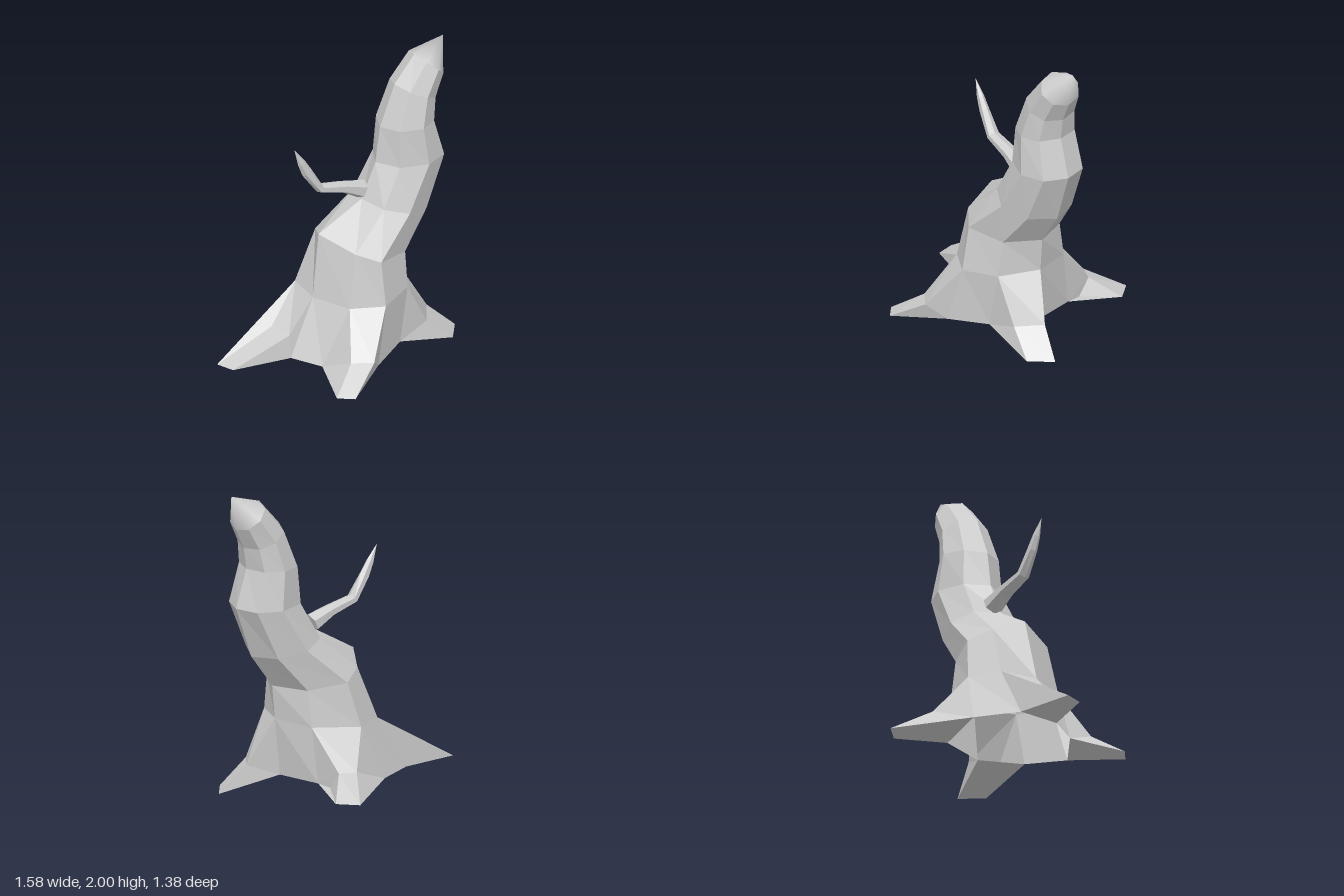
import * as THREE from 'three';

const V = (x, y, z) => new THREE.Vector3(x, y, z);
const SIDES = 8;

// Collects triangles and quads (counter-clockwise, quads split along a-c).
function faceBuilder() {
  const pts = [];
  const tri = (a, b, c) => pts.push(a, b, c);
  const quad = (a, b, c, d) => { tri(a, b, c); tri(a, c, d); };
  const band = (low, up) => low.forEach((p, i) => {
    const j = (i + 1) % low.length;
    quad(p, up[i], up[j], low[j]);
  });
  const geometry = () => {
    const g = new THREE.BufferGeometry().setFromPoints(pts);
    g.computeVertexNormals();
    return g;
  };
  return { tri, quad, band, geometry };
}

// The trunk is hollow and open below, so all bark is double-sided.
function makeMesh(name, geometry, flat = true) {
  const material = new THREE.MeshStandardMaterial({ color: 0xcccccc, flatShading: flat, side: THREE.DoubleSide });
  const mesh = new THREE.Mesh(geometry, material);
  mesh.name = name;
  return mesh;
}

// Bent trunk ring: right side, middle and left side points in x,y plus half depth.
function trunkRing([lx, ly, mx, my, rx, ry, depth]) {
  const bend = (l, m, r, c) => m + (r - l) / 2 * c + ((r + l) / 2 - m) * c * c;
  return Array.from({ length: SIDES }, (_, i) => {
    const t = i / SIDES * Math.PI * 2, c = Math.cos(t);
    return V(bend(lx, mx, rx, c), bend(ly, my, ry, c), 0.06 + depth * Math.sin(t));
  });
}

const trunkSections = [
  [-0.20, 0.43, 0.11, 0.43, 0.45, 0.47, 0.36],
  [-0.13, 0.84, 0.11, 0.72, 0.47, 0.69, 0.31],
  [0.17, 1.02, 0.37, 0.96, 0.63, 0.91, 0.245],
  [0.275, 1.25, 0.54, 1.25, 0.75, 1.25, 0.215],
  [0.31, 1.49, 0.51, 1.50, 0.67, 1.50, 0.195],
  [0.42, 1.76, 0.56, 1.69, 0.69, 1.64, 0.165],
  [0.57, 1.93, 0.66, 1.85, 0.75, 1.77, 0.14],
];

// Gnarled spots: ring, corner and shift
const gnarls = [
  [0, 3, V(0.02, 0, 0)], [0, 5, V(-0.05, 0, 0)], [0, 6, V(-0.07, 0, 0)],
  [1, 3, V(0.05, -0.02, 0)], [1, 4, V(0, 0, -0.04)], [1, 5, V(0.04, -0.02, 0)],
];

// Foot of the trunk at ground level, same order as the trunk rings.
const foot = [
  V(0.41, 0.09, 0.06), V(0.28, 0.09, 0.33), V(0.02, 0.06, 0.47), V(-0.27, 0.05, 0.27),
  V(-0.38, 0.06, 0.08), V(-0.38, 0.06, -0.20), V(-0.10, 0.08, -0.36), V(0.33, 0.095, -0.24),
];

// Roots grow from every second side: two knee points, two tip points, sometimes a heel.
const roots = [
  { name: 'leftRoot', side: 0, knee: [V(0.61, 0.17, 0.14), V(0.50, 0.16, 0.30)], tip: [V(0.79, 0, 0.19), V(0.68, 0, 0.33)] },
  { name: 'frontRoot', side: 2, knee: [V(-0.08, 0.15, 0.57), V(-0.20, 0.15, 0.49)], tip: [V(-0.30, 0.01, 0.685), V(-0.39, 0.01, 0.61)] },
  { name: 'rightRoot', side: 4, knee: [V(-0.38, 0.21, 0.06), V(-0.41, 0.22, -0.09)], tip: [V(-0.75, 0.04, -0.02), V(-0.79, 0.04, -0.14)], sunk: true },
  { name: 'backRoot', side: 6, knee: [V(0.19, 0.20, -0.46), V(0.30, 0.20, -0.42)], tip: [V(0.33, 0.07, -0.69), V(0.44, 0.07, -0.58)], heel: V(0.31, 0.09, -0.34) },
];

function makeRoot({ name, side, knee: [k0, k1], tip: [p0, p1], sunk, heel }, collar) {
  const f = faceBuilder();
  const [t0, t1, b0, b1] = [collar[side], collar[side + 1], foot[side], foot[side + 1]];
  f.quad(k0, t0, t1, k1);
  f.quad(p0, k0, k1, p1);
  f.quad(b0, p0, p1, b1);
  f.quad(k0, p0, b0, t0);
  if (sunk) f.quad(t1, b1, p1, k1);
  else if (heel) {
    f.quad(k1, t1, b1, heel);
    f.tri(k1, heel, p1);
    f.tri(p1, heel, b1);
  } else f.quad(k1, t1, b1, p1);
  return makeMesh(name, f.geometry());
}

// Side branch: six-sided rings across a bent path, ending in a point.
function makeBranch() {
  const path = [
    [0.20, 1.065, 0.062, 0.068], [0.06, 1.12, 0.038, 0.054], [-0.12, 1.165, 0.030, 0.044],
    [-0.215, 1.305, 0.036, 0.030], [-0.257, 1.385, 0.027, 0.022],
  ];
  const tip = V(-0.31, 1.49, 0.015);
  const centres = path.map(([x, y]) => V(x, y, 0.015));
  const rings = path.map(([, , r, rz], i) => {
    const dir = (centres[i + 1] || tip).clone().sub(centres[Math.max(i - 1, 0)]).normalize();
    const across = V(dir.y, -dir.x, 0);
    return Array.from({ length: 6 }, (_, k) => {
      const t = k / 6 * Math.PI * 2;
      return centres[i].clone().addScaledVector(across, r * Math.cos(t)).add(V(0, 0, rz * Math.sin(t)));
    });
  });
  const f = faceBuilder();
  for (let i = 0; i < rings.length - 1; i++) f.band(rings[i], rings[i + 1]);
  const last = rings[rings.length - 1];
  for (let k = 0; k < 6; k++) {
    f.tri(last[k], tip, last[(k + 1) % 6]);
    f.tri(centres[0], rings[0][k], rings[0][(k + 1) % 6]);
  }
  return makeMesh('branch', f.geometry());
}

export function createModel() {
  const tree = new THREE.Group();
  tree.name = 'deadTree';
  const rings = trunkSections.map(trunkRing);
  gnarls.forEach(([ring, corner, shift]) => rings[ring][corner].add(shift));

  // Trunk, with plain walls between the roots
  const trunk = faceBuilder();
  for (let i = 0; i < rings.length - 1; i++) trunk.band(rings[i], rings[i + 1]);
  for (let i = 1; i < SIDES; i += 2) {
    const j = (i + 1) % SIDES;
    trunk.quad(foot[i], rings[0][i], rings[0][j], foot[j]);
  }
  tree.add(makeMesh('trunk', trunk.geometry()));

  // Smooth pointed top
  const top = rings[rings.length - 1];
  const cone = new THREE.BufferGeometry().setFromPoints([...top, V(0.79, 2, 0.055)]);
  cone.setIndex(top.flatMap((_, i) => [i, SIDES, (i + 1) % SIDES]));
  cone.computeVertexNormals();
  tree.add(makeMesh('pointedTop', cone, false));

  roots.forEach((r) => tree.add(makeRoot(r, rings[0])));
  tree.add(makeBranch());
  return tree;
}
